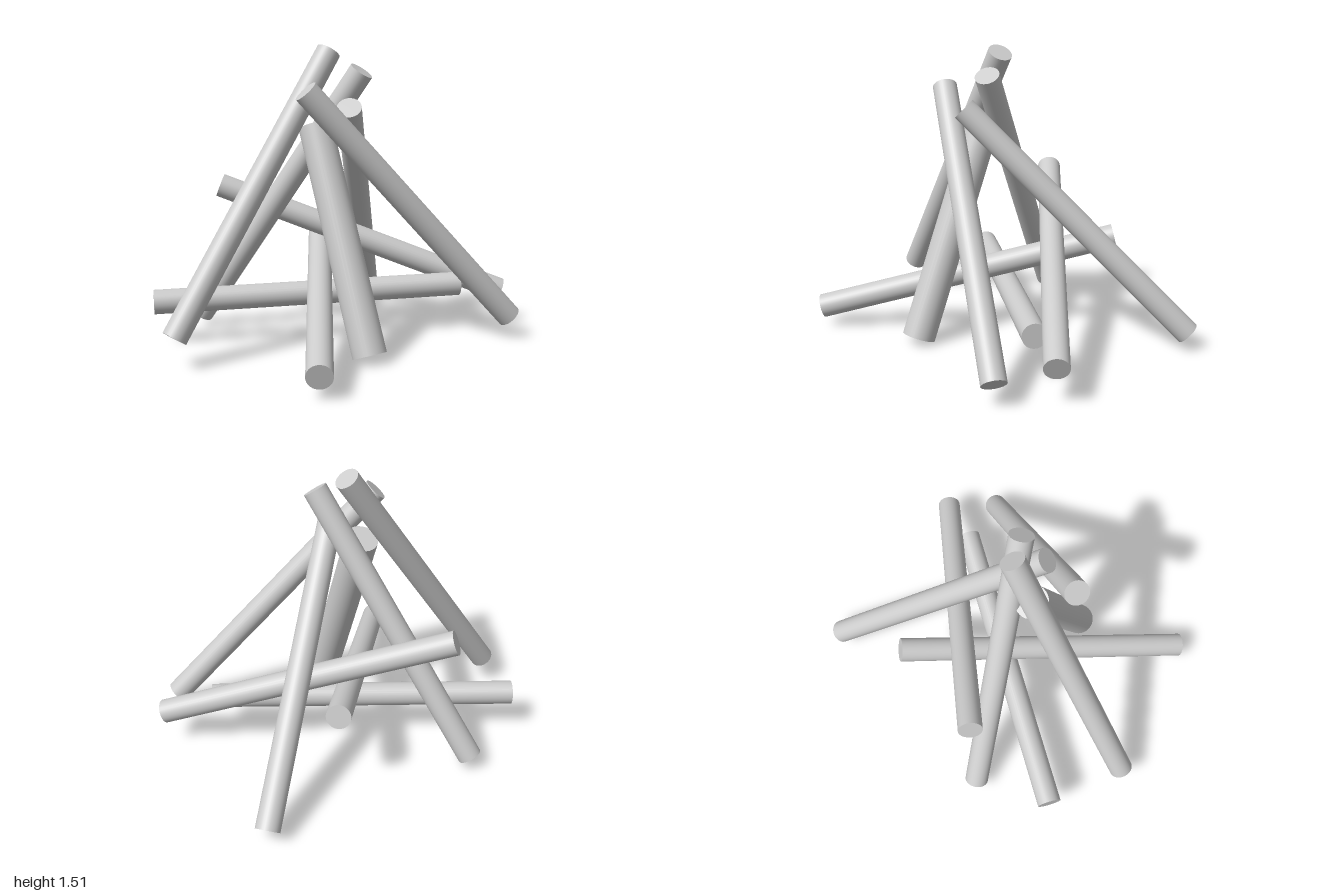
import * as THREE from 'three';

// Each log: name, centre of one end, centre of the other end, radius
const LOGS = [
  ['leaningLogFrontLeft', [-0.05, 1.48, 0.025], [-0.705, 0.155, 0.635], 0.062],
  ['leaningLogBackLeft', [0.12, 1.385, 0.065], [-0.765, 0.07, -0.15], 0.062],
  ['leaningLogRight', [-0.125, 1.295, 0.325], [0.88, 0.115, -0.085], 0.062],
  ['leaningLogBack', [0.07, 1.21, 0.19], [0.07, 0.085, -0.955], 0.062],
  ['thickLeaningLog', [-0.105, 1.115, 0.12], [0.193, 0.035, 0.415], 0.085],
  ['slopingBaseLog', [-0.655, 0.77, -0.165], [0.84, 0.19, -0.36], 0.062],
  ['flatBaseLog', [-0.915, 0.225, 0.245], [0.615, 0.247, -0.235], 0.062],
  ['frontBaseLog', [0.022, 0.112, 0.98], [-0.17, 0.515, -0.56], 0.062],
];

const UP = new THREE.Vector3(0, 1, 0);

// Round log running between two points
function makeLog(name, from, to, radius, material) {
  const a = new THREE.Vector3(...from);
  const b = new THREE.Vector3(...to);
  const axis = a.clone().sub(b);
  const log = new THREE.Mesh(new THREE.CylinderGeometry(radius, radius, axis.length(), 32), material);
  log.position.copy(a).add(b).multiplyScalar(0.5);
  log.quaternion.setFromUnitVectors(UP, axis.normalize());
  log.name = name;
  return log;
}

export function createModel() {
  const model = new THREE.Group();
  model.name = 'logPile';
  const wood = new THREE.MeshStandardMaterial({ color: 0xcccccc });
  for (const [name, from, to, radius] of LOGS) model.add(makeLog(name, from, to, radius, wood));
  return model;
}
